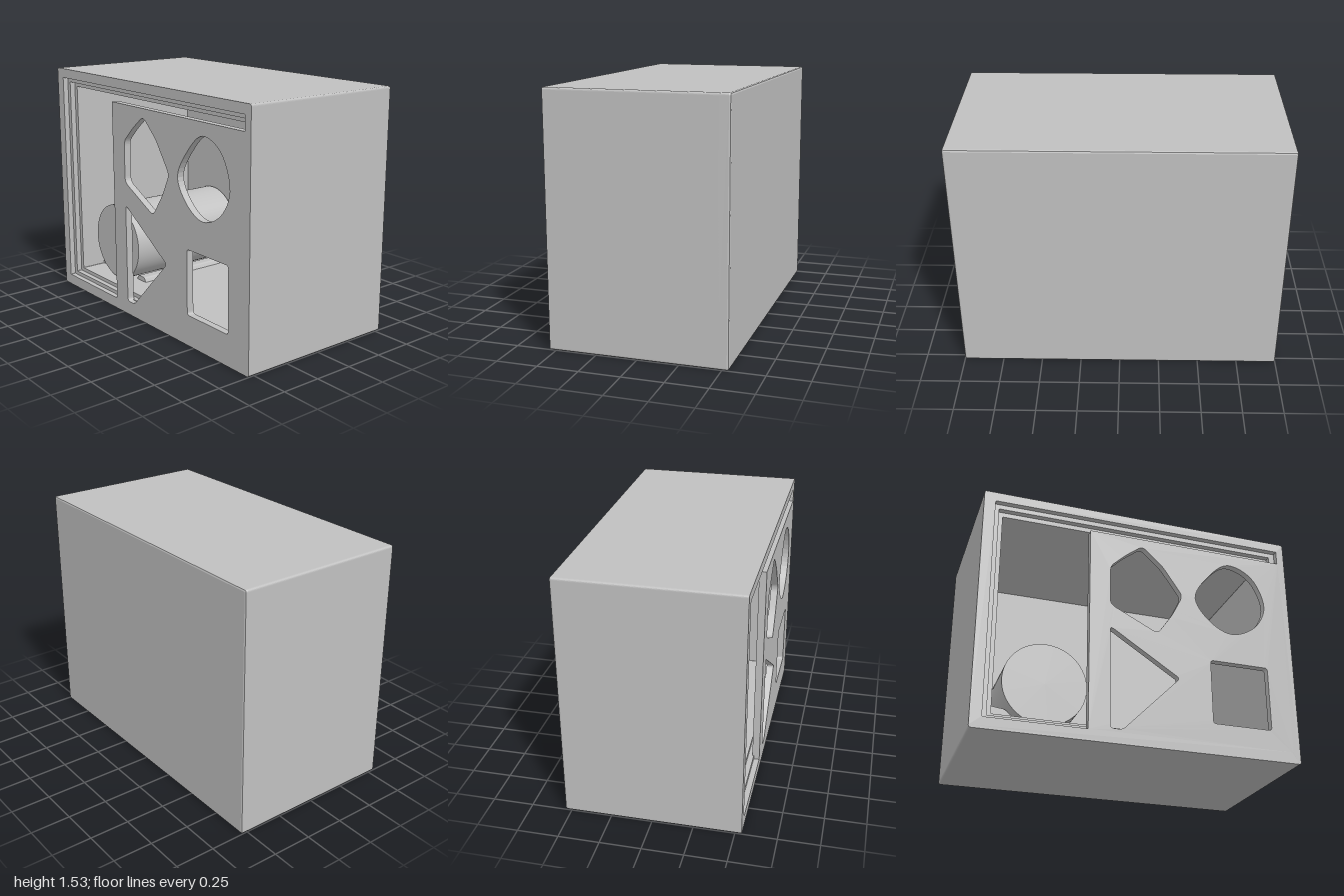
import * as THREE from 'three';

// Closed outline with softly rounded corners
function roundedPolygon(points, r, PathType = THREE.Path) {
  const path = new PathType();
  const pts = points.map(([x, y]) => new THREE.Vector2(x, y));
  pts.forEach((p, i) => {
    const toward = (q) => p.clone().add(q.clone().sub(p).setLength(r));
    const a = toward(pts[(i + pts.length - 1) % pts.length]);
    const b = toward(pts[(i + 1) % pts.length]);
    if (i === 0) path.moveTo(a.x, a.y);
    else path.lineTo(a.x, a.y);
    path.quadraticCurveTo(p.x, p.y, b.x, b.y);
  });
  path.closePath();
  return path;
}

const rect = (x0, y0, x1, y1) => [[x0, y0], [x1, y0], [x1, y1], [x0, y1]];

export function createModel() {
  const group = new THREE.Group();
  const grey = new THREE.MeshStandardMaterial({ color: 0xc0c0c0 });
  grey.name = 'light grey';

  // Extrude an outline from z0 (back) to z1 (front), with optional holes
  function slab(name, outline, z0, z1, holes = [], bevel = 0) {
    outline.holes = holes;
    const geometry = new THREE.ExtrudeGeometry(outline, {
      depth: z1 - z0 - 2 * bevel, curveSegments: 6, bevelEnabled: bevel > 0,
      bevelSize: bevel, bevelThickness: bevel, bevelOffset: -bevel, bevelSegments: 2,
    });
    geometry.translate(0, 0, z0 + bevel);
    const mesh = new THREE.Mesh(geometry, grey);
    mesh.name = name;
    group.add(mesh);
    return mesh;
  }

  const outer = () => roundedPolygon(rect(-1, 0, 1, 1.53), 0.015, THREE.Shape);
  const opening = (x0, y0, x1, y1) => roundedPolygon(rect(x0, y0, x1, y1), 0.004);

  // Box: back wall, side walls and a stepped front frame
  slab('backWall', outer(), -0.54, -0.46, [], 0.012);
  slab('boxWalls', outer(), -0.48, 0.47, [opening(-0.87, 0.12, 0.87, 1.41)]);
  slab('innerFrame', outer(), 0.47, 0.505, [opening(-0.9, 0.095, 0.91, 1.44)]);
  slab('frontFrame', outer(), 0.505, 0.54, [opening(-0.93, 0.07, 0.95, 1.47)]);

  // Sliding front panel with four shape cutouts
  const roundHole = new THREE.Path(new THREE.CatmullRomCurve3(
    [[0.355, 1.02], [0.45, 1.19], [0.59, 1.3], [0.75, 1.235], [0.83, 1.03], [0.75, 0.875], [0.59, 0.805], [0.45, 0.87]]
      .map(([x, y]) => new THREE.Vector3(x, y, 0)), true).getPoints(48).slice(0, -1)
    .map((p) => new THREE.Vector2(p.x, p.y)));
  const holes = [
    roundedPolygon([[-0.2, 0.885], [-0.2, 1.15], [-0.1, 1.245], [0.01, 1.33], [0.14, 1.21], [0.27, 1.02], [0.2, 0.88], [0.1, 0.735]], 0.035),
    roundHole,
    roundedPolygon([[-0.2, 0.735], [0.235, 0.455], [-0.125, 0.09], [-0.2, 0.09]], 0.025),
    roundedPolygon(rect(0.44, 0.195, 0.82, 0.605), 0.02),
  ];
  slab('slidingPanel', roundedPolygon(rect(-0.33, 0.065, 0.955, 1.38), 0.004, THREE.Shape), 0.495, 0.54, holes);

  // Cylinder lying front to back inside the box
  const cylinder = new THREE.Mesh(new THREE.CylinderGeometry(0.255, 0.255, 0.83, 64), grey);
  cylinder.name = 'cylinder';
  cylinder.rotation.x = Math.PI / 2;
  cylinder.position.set(-0.55, 0.377, -0.03);
  group.add(cylinder);

  // Low supports that keep the cylinder from rolling
  slab('leftSupport', roundedPolygon([[-0.88, 0.11], [-0.88, 0.24], [-0.76, 0.225], [-0.67, 0.14], [-0.67, 0.11]], 0.015, THREE.Shape), -0.46, 0.3);
  slab('rightSupport', roundedPolygon([[-0.45, 0.11], [-0.43, 0.15], [-0.36, 0.15], [-0.34, 0.11]], 0.01, THREE.Shape), -0.46, 0.3);

  return group;
}
